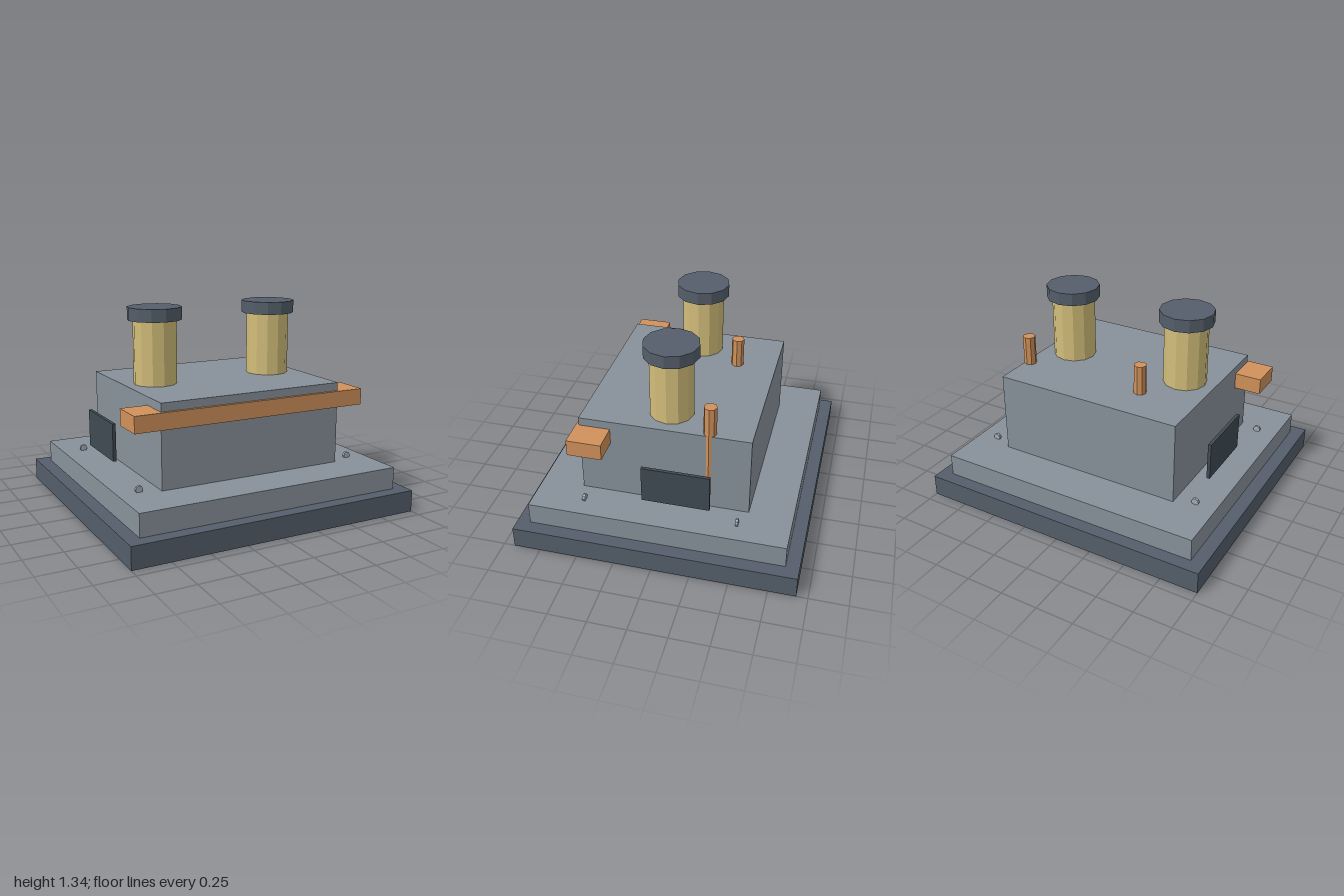
import * as THREE from 'three';

const paint = (color) => new THREE.MeshStandardMaterial({ color, flatShading: true });

export function createModel() {
  const model = new THREE.Group();
  const slate = paint(0x545e6a), grey = paint(0x87919a), dark = paint(0x3f4a52);
  const copper = paint(0xd0915a), brass = paint(0xd2bd7a), steel = paint(0xa3adb5);

  const add = (name, geometry, material, x, y, z) => {
    const mesh = new THREE.Mesh(geometry, material);
    mesh.name = name;
    mesh.position.set(x, y, z);
    model.add(mesh);
    return mesh;
  };
  // Box and upright cylinder placed by their lower and upper heights
  const box = (name, mat, w, d, y0, y1, x = 0, z = 0) =>
    add(name, new THREE.BoxGeometry(w, y1 - y0, d), mat, x, (y0 + y1) / 2, z);
  const post = (name, mat, r, sides, y0, y1, x, z = 0) =>
    add(name, new THREE.CylinderGeometry(r, r, y1 - y0, sides), mat, x, (y0 + y1) / 2, z);

  // Stepped base and main block
  box('basePlate', slate, 2, 1.855, 0, 0.145);
  box('plinth', grey, 1.82, 1.68, 0.145, 0.293);
  box('body', grey, 1.28, 1.11, 0.293, 0.84);

  // Crossbar along the front
  box('frontBar', copper, 1.64, 0.225, 0.677, 0.785, 0, 0.463);

  for (const side of [-1, 1]) {
    // Capped stack with a thin pipe beside it
    const x = side * 0.428;
    post('stack', brass, 0.144, 12, 0.82, 1.26, x);
    post('stackCap', slate, 0.179, 12, 1.26, 1.344, x);
    post('pipe', copper, 0.042, 8, 0.465, 1.037, x + 0.177, -0.287);

    // Free-standing side panel
    box('sidePanel', dark, 0.022, 0.44, 0.377, 0.627, side * 0.77, -0.107);

    // Bolts at the plinth corners, axis along z
    for (const end of [-1, 1]) {
      const bolt = add('bolt', new THREE.CylinderGeometry(0.025, 0.025, 0.018, 8), steel,
        side * 0.77, 0.309, end * 0.503);
      bolt.rotation.x = Math.PI / 2;
    }
  }
  return model;
}
